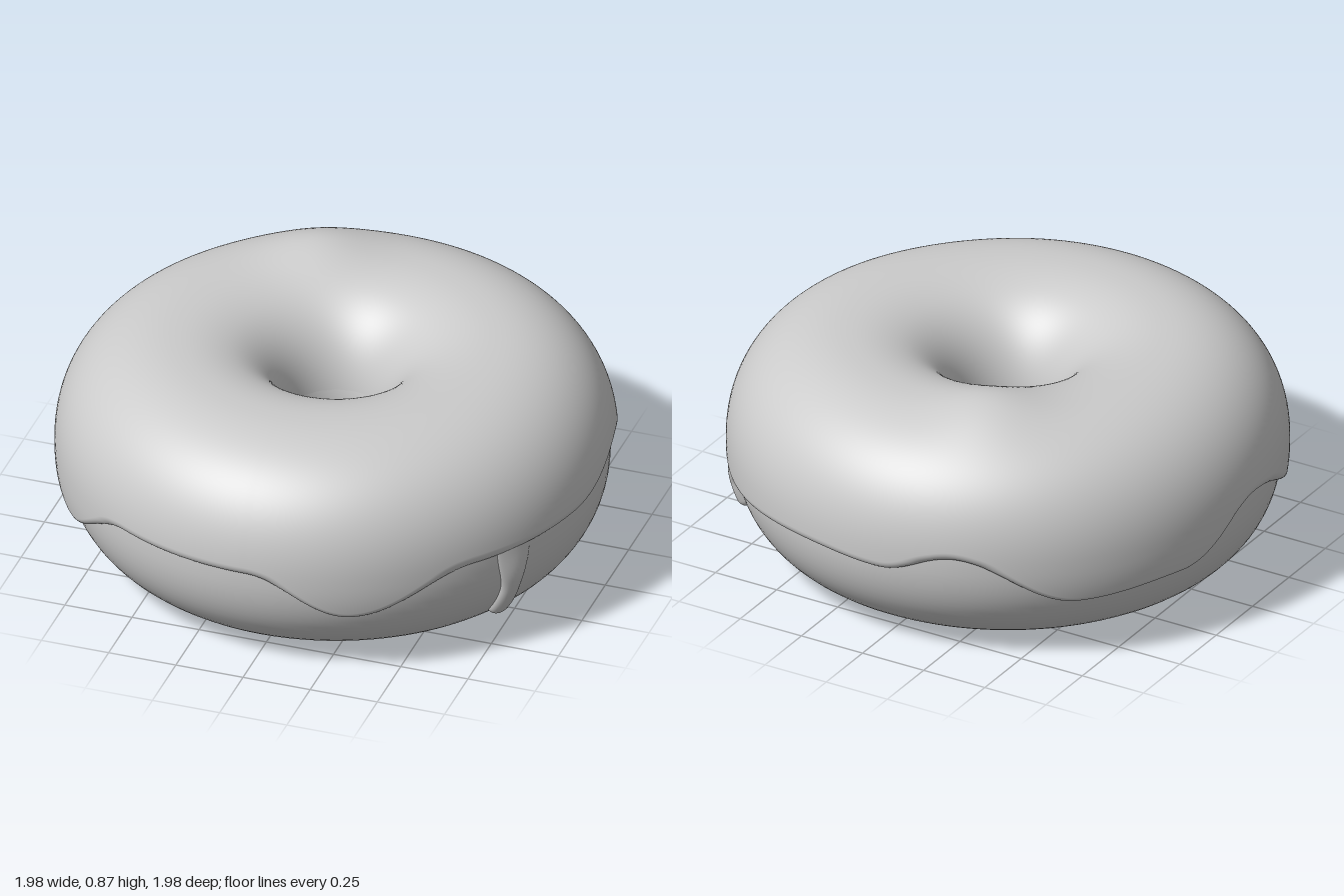
import * as THREE from 'three';

// Tube section of the ring: slightly squared ellipse
const R = 0.564, A = 0.401, B = 0.4, MID = 0.4, K = 0.9;
const spow = (v, p) => Math.sign(v) * Math.abs(v) ** p;
const clamp01 = v => Math.min(Math.max(v, 0), 1);
const DEG = Math.PI / 180;

// Point at angle theta round the ring and u round the section, pushed out by offset
function onRing(theta, u, offset) {
  const c = Math.cos(u), s = Math.sin(u);
  const n = new THREE.Vector2(spow(c, 2 - K) / A, spow(s, 2 - K) / B).normalize();
  const r = R + A * spow(c, K) + n.x * offset;
  return new THREE.Vector3(r * Math.sin(theta), MID + B * spow(s, K) + n.y * offset, r * Math.cos(theta));
}
const angleAtHeight = y => Math.asin(spow((y - MID) / B, 1 / K));
const roundOff = d => Math.sqrt(1 - (1 - clamp01(d)) ** 2);

// Indexed surface; columns run round the ring, rows run up the outside
function grid(rows, cols, closed, point) {
  const pos = [], index = [];
  const w = closed ? cols : cols + 1;
  for (let i = 0; i <= rows; i++)
    for (let j = 0; j < w; j++) pos.push(...point(i, j / cols).toArray());
  for (let i = 0; i < rows; i++)
    for (let j = 0; j < cols; j++) {
      const a = i * w + j, b = i * w + (j + 1) % w;
      index.push(a, b, a + w, b, b + w, a + w);
    }
  const g = new THREE.BufferGeometry();
  g.setAttribute('position', new THREE.Float32BufferAttribute(pos, 3));
  g.setIndex(index);
  g.computeVertexNormals();
  return g;
}

// Crests and troughs of the icing edge: [degrees from the front, height]
const EDGE = [[0, 0.41], [22, 0.255], [49, 0.405], [78, 0.41], [102, 0.47], [130, 0.32], [167, 0.355],
  [183, 0.345], [199, 0.42], [226, 0.245], [250, 0.27], [272, 0.425], [305, 0.255], [330, 0.41], [360, 0.41]];
function edgeHeight(deg) {
  const k = EDGE.findIndex(e => e[0] > deg);
  const [d0, y0] = EDGE[k - 1], [d1, y1] = EDGE[k];
  return y0 + (y1 - y0) * (0.5 - 0.5 * Math.cos(Math.PI * (deg - d0) / (d1 - d0)));
}

function icingGeometry() {
  const lipRows = 9, rows = 75, lip = 0.028;
  return grid(rows, 400, true, (i, q) => {
    const deg = q * 360, theta = deg * DEG;
    const u0 = angleAtHeight(edgeHeight(deg)), u1 = Math.PI + 0.25, lipU = lip / B;
    const u = i <= lipRows
      ? u0 + lipU * (1 - Math.cos(i / lipRows * Math.PI / 2))
      : u0 + lipU + (u1 - u0 - lipU) * (i - lipRows) / (rows - lipRows);
    // thinner at the front left and towards the hole
    const thin = 1 - 0.45 * Math.exp(-(((deg - 45) / 25) ** 2));
    const side = Math.max(Math.cos(u), 0);
    const inner = 1 - THREE.MathUtils.smoothstep(u, 2.0, Math.PI);
    const t = 0.03 * (1 - side * (1 - thin)) * inner;
    const p = onRing(theta, u, t * roundOff((u - u0) / lipU) - 0.003);
    // soft swelling on top at the back
    const bump = Math.exp(-((p.x + 0.24) ** 2 + (p.z + 0.53) ** 2) / 0.036);
    p.y += 0.042 * bump * Math.max(Math.sin(u), 0);
    return p;
  });
}

// Run of icing down the side, widening where it leaves the edge
function dripGeometry({ deg, tip, top, width, flare }) {
  const rows = 36, u0 = angleAtHeight(tip), u1 = angleAtHeight(top);
  return grid(rows, 16, false, (i, q) => {
    const v = (i / rows) ** 1.5, u = u0 + (u1 - u0) * v;
    const round = roundOff((u - u0) * B / width);
    const w = (width + flare * THREE.MathUtils.smoothstep(v, 0.45, 0.95)) * round;
    const thick = 0.032 - 0.022 * THREE.MathUtils.smoothstep(v, 0.6, 1);
    const r = R + A * spow(Math.cos(u), K);
    return onRing(deg * DEG - w * Math.cos(Math.PI * q) / r, u, thick * round * Math.sin(Math.PI * q) - 0.003);
  });
}

export function createModel() {
  const group = new THREE.Group();
  const material = new THREE.MeshStandardMaterial({ color: 0xcccccc });
  const add = (name, geometry) => {
    const mesh = new THREE.Mesh(geometry, material);
    mesh.name = name;
    group.add(mesh);
  };

  // Dough ring
  const profile = [];
  for (let i = 0; i <= 72; i++) {
    const p = onRing(0, -Math.PI + i / 72 * 2 * Math.PI, 0);
    profile.push(new THREE.Vector2(p.z, p.y));
  }
  add('dough', new THREE.LatheGeometry(profile, 128));

  // Icing and its drips
  add('icing', icingGeometry());
  add('longDrip', dripGeometry({ deg: 59.5, tip: 0.105, top: 0.45, width: 0.042, flare: 0.035 }));
  add('shortDrip', dripGeometry({ deg: 126, tip: 0.18, top: 0.42, width: 0.036, flare: 0.09 }));
  return group;
}
